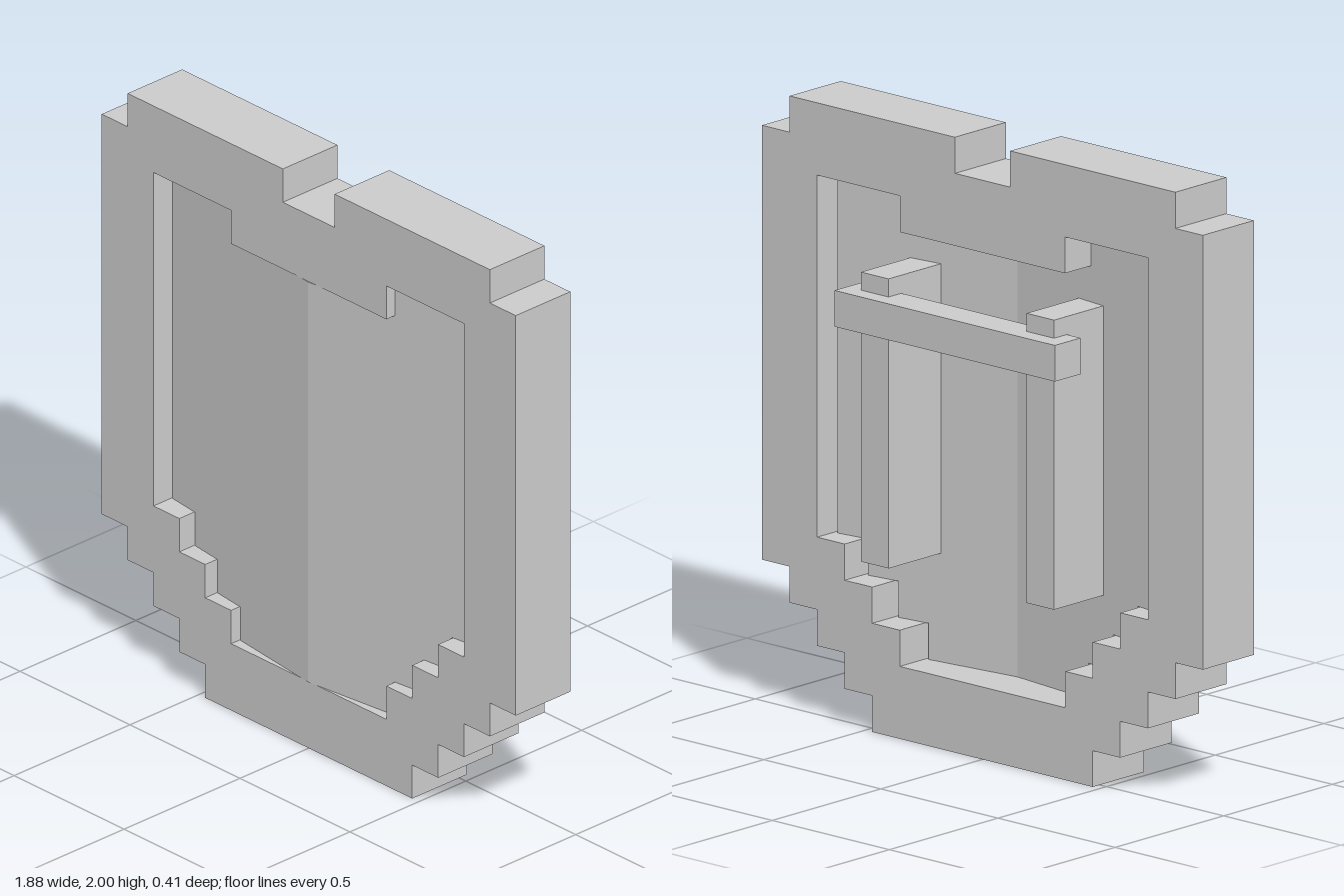
import * as THREE from 'three';

const U = 2 / 17;          // one block of the stepped outline
const FRONT = 0.203;       // front face of the rim
const DEPTH = 2 * U;       // rim thickness
const PANEL = 0.078;       // panel thickness
const TILT = THREE.MathUtils.degToRad(6.7);

// Right halves of the outlines in blocks, from bottom to top
const OUTER = [[4, 0], [4, 1], [5, 1], [5, 2], [6, 2], [6, 3], [7, 3], [7, 4],
  [8, 4], [8, 16], [7, 16], [7, 17], [1, 17], [1, 16]];
const INNER = [[3, 2], [3, 3], [4, 3], [4, 4], [5, 4], [5, 5], [6, 5], [6, 15],
  [3, 15], [3, 14]];

const toPoints = (list) => list.map(([x, y]) => new THREE.Vector2(x * U, y * U));
const mirrored = (list) => list.map(([x, y]) => [-x, y]).reverse();
const extrude = (shape, depth) =>
  new THREE.ExtrudeGeometry(shape, { depth, bevelEnabled: false });

export function createModel() {
  const model = new THREE.Group();
  model.name = 'shield';
  const material = new THREE.MeshStandardMaterial({ color: 0xcccccc, flatShading: true });

  const add = (name, geometry, x = 0, y = 0, z = 0) => {
    const mesh = new THREE.Mesh(geometry, material);
    mesh.name = name;
    mesh.position.set(x, y, z);
    model.add(mesh);
    return mesh;
  };

  // Stepped rim with an opening
  const rim = new THREE.Shape(toPoints([...OUTER, ...mirrored(OUTER)]));
  rim.holes.push(new THREE.Path(toPoints([...INNER, ...mirrored(INNER)])));
  add('rim', extrude(rim, DEPTH), 0, 0, FRONT - DEPTH);

  // Two panel halves that meet in a shallow ridge at the middle
  const half = [[0, 2], ...INNER, [0, 14]];
  for (const side of [1, -1]) {
    const outline = side > 0 ? half : mirrored(half);
    const geometry = extrude(new THREE.Shape(toPoints(outline)), PANEL);
    geometry.translate(0, 0, -PANEL);
    const panel = add(side > 0 ? 'leftPanel' : 'rightPanel', geometry, 0, 0, FRONT + 0.004);
    panel.rotation.y = side * TILT;
  }

  // Upright grip posts on the back, rooted in the panel
  for (const side of [1, -1]) {
    add(side > 0 ? 'leftPost' : 'rightPost', new THREE.BoxGeometry(U, 8 * U, 0.245),
      side * 3 * U, 9 * U, -0.147 + 0.1225);
  }

  // Crossbar handle
  add('handleBar', new THREE.BoxGeometry(8 * U, U, U), 0, 12 * U, -0.206 + U / 2);

  return model;
}
